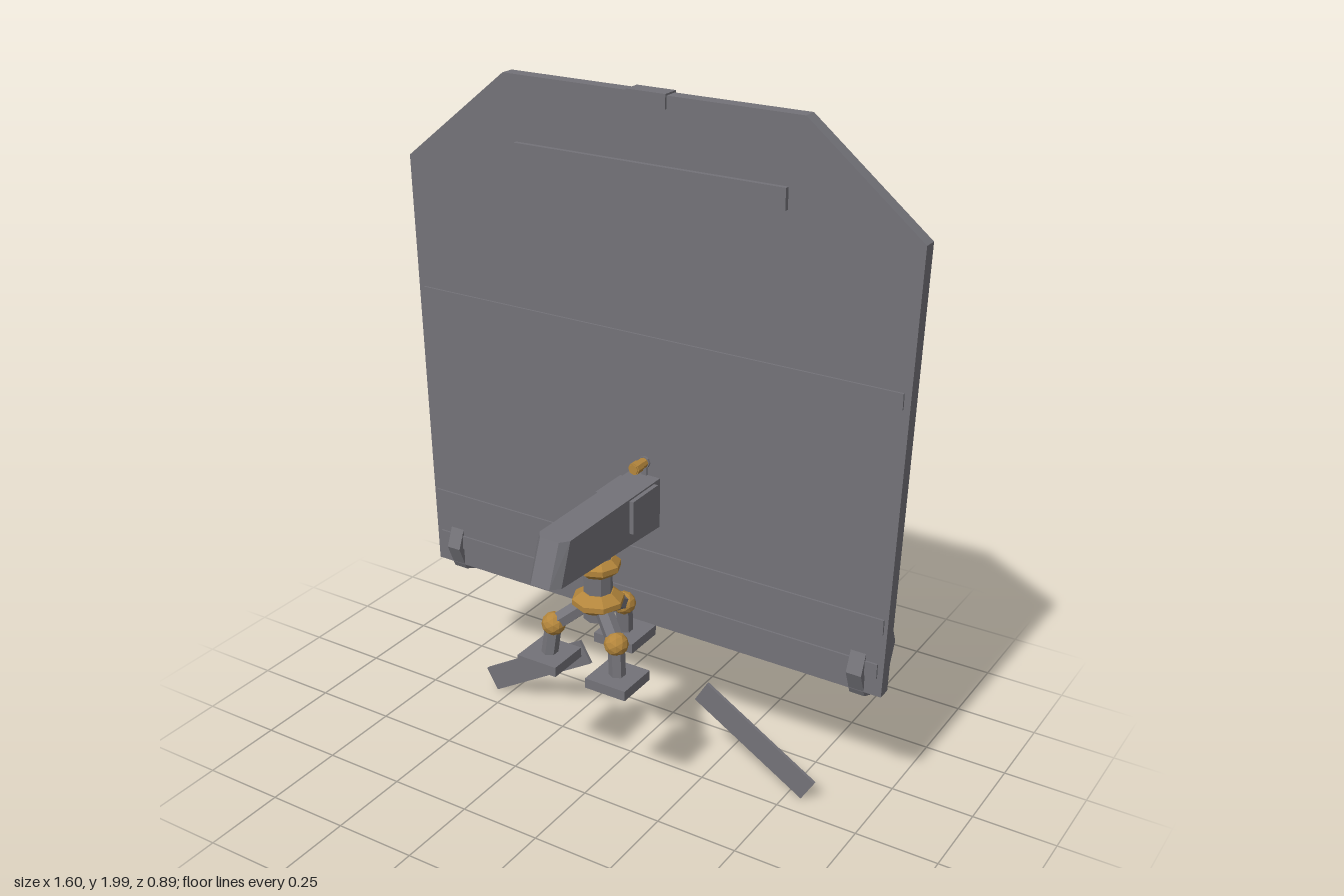
import * as THREE from 'three';
import { ConvexGeometry } from 'three/addons/geometries/ConvexGeometry.js';

export function createModel() {
  const model = new THREE.Group();
  const mat = (name, color) => {
    const m = new THREE.MeshStandardMaterial({ color, flatShading: true });
    m.name = name;
    return m;
  };
  const steel = mat('steel grey', 0x737278);
  const pale = mat('pale grey', 0xb8b8bc);
  const brass = mat('brass', 0xb4863c);

  const V = (x, y, z) => new THREE.Vector3(x, y, z);
  const add = (name, geometry, material = steel, x = 0, y = 0, z = 0) => {
    const mesh = new THREE.Mesh(geometry, material);
    mesh.name = name;
    mesh.position.set(x, y, z);
    model.add(mesh);
    return mesh;
  };
  const box = (name, w, h, d, x, y, z, material) =>
    add(name, new THREE.BoxGeometry(w, h, d), material, x, y, z);
  // Straight rod between two points
  const rod = (name, a, b, r, sides = 6, material = steel, r2 = r) => {
    const dir = b.clone().sub(a);
    const mesh = add(name, new THREE.CylinderGeometry(r2, r, dir.length(), sides), material);
    mesh.position.copy(a).add(b).multiplyScalar(0.5);
    mesh.quaternion.setFromUnitVectors(V(0, 1, 0), dir.normalize());
    return mesh;
  };
  const rods = (name, points, r, sides) => {
    for (let i = 1; i < points.length; i++) rod(name, points[i - 1], points[i], r, sides);
  };

  // Large shield with clipped upper corners
  const outline = [[-0.765, 0.42], [0.765, 0.42], [0.8, 1.72], [0.46, 1.995], [-0.46, 1.995], [-0.8, 1.72]];
  const shieldShape = new THREE.Shape(outline.map(([x, y]) => new THREE.Vector2(x, y)));
  add('shield', new THREE.ExtrudeGeometry(shieldShape, { depth: 0.042, bevelEnabled: false }), steel, 0, 0, -0.119);
  for (const [y, w] of [[1.305, 1.54], [0.642, 1.52], [0.5, 1.5]])
    box('shieldStrap', w, 0.045, 0.054, 0, y, -0.098);
  box('topClasp', 0.12, 0.04, 0.054, 0, 1.98, -0.098);
  box('visionStrip', 0.84, 0.06, 0.014, 0, 1.78, -0.07);
  box('rearPanel', 0.23, 0.325, 0.009, -0.385, 1.083, -0.123, pale);

  for (const s of [-1, 1]) {
    // Octagonal end discs and trailing bars
    const disc = add('octagonalDisc', new THREE.CylinderGeometry(0.113, 0.113, 0.046, 8), steel, s * 0.69, 0.482, -0.165);
    disc.rotation.z = Math.PI / 2;
    rod('trailBar', V(s * 0.68, 0.48, -0.15), V(s * 0.385, 0.422, -0.435), 0.015);
    // Low hanging flaps
    const flap = box('lowerFlap', 0.42, 0.078, 0.01, s * 0.385, 0.147, -0.068);
    flap.rotation.z = -s * 0.54;
    // Side cheeks and small rear posts of the housing
    box('housingCheek', 0.02, 0.1, 0.13, s * 0.053, 0.85, 0.02);
    for (const z of [-0.315, -0.335]) box('rearPost', 0.006, 0.045, 0.006, s * 0.058, 0.855, z);
    box('postArm', 0.008, 0.01, 0.08, s * 0.055, 0.835, -0.3);
  }

  // Long housing with chamfered ends
  const hull = [];
  for (const s of [-1, 1])
    hull.push(
      V(s * 0.03, 0.905, 0.4), V(s * 0.05, 0.905, 0.375), V(s * 0.05, 0.905, -0.285), V(s * 0.028, 0.905, -0.308),
      V(s * 0.03, 0.785, 0.448), V(s * 0.05, 0.782, 0.42), V(s * 0.05, 0.75, -0.095),
      V(s * 0.05, 0.763, -0.262), V(s * 0.028, 0.765, -0.285));
  add('housing', new ConvexGeometry(hull));

  // Sighting tube on top
  rod('sightTube', V(0, 0.945, -0.285), V(0, 0.945, -0.012), 0.015, 8, brass);
  for (const z of [-0.275, -0.03]) rod('sightEnd', V(0, 0.945, z - 0.014), V(0, 0.945, z + 0.014), 0.018, 8, brass);
  for (const z of [-0.225, -0.08]) {
    rod('sightRing', V(0, 0.945, z - 0.01), V(0, 0.945, z + 0.01), 0.018, 8);
    box('sightMount', 0.016, 0.05, 0.016, 0, 0.92, z);
  }

  // Rear grip frame, post and cord
  rods('gripFrame', [V(0, 0.82, -0.28), V(0, 0.79, -0.405), V(0, 0.665, -0.425), V(0, 0.515, -0.31)], 0.016, 6);
  box('gripCatch', 0.03, 0.015, 0.015, 0.02, 0.78, -0.39);
  rod('rearColumn', V(0, 0.57, -0.17), V(0, 0.76, -0.17), 0.03, 6);
  rods('cord', [V(0, 0.485, -0.365), V(0.02, 0.41, -0.385), V(-0.02, 0.37, -0.395), V(0, 0.315, -0.405)], 0.005, 5);
  add('cordBall', new THREE.IcosahedronGeometry(0.011, 1), steel, 0, 0.314, -0.405);

  // Pedestal with two brass collars
  const zc = 0.17;
  rod('pedestal', V(0, 0.56, zc), V(0, 0.77, zc), 0.042, 8);
  const collar = (y, r, h) => {
    const p = [[0, -h], [0.045, -h], [r, -0.008], [r, 0.008], [0.045, h], [0, h]];
    add('collar', new THREE.LatheGeometry(p.map(([a, b]) => new THREE.Vector2(a, b)), 8), brass, 0, y, zc);
  };
  collar(0.728, 0.066, 0.026);
  collar(0.617, 0.075, 0.03);

  // Three jointed legs on square feet
  for (const [x, z, fx, fz] of [[-0.105, 0.24, -0.115, 0.25], [0.105, 0.24, 0.115, 0.25], [0, 0.035, 0, 0.03]]) {
    const knee = V(x, 0.54, z);
    rod('upperLeg', V(x * 0.2, 0.61, zc + (z - zc) * 0.2), knee, 0.026, 6);
    add('kneeBall', new THREE.IcosahedronGeometry(0.035, 1), brass, x, 0.54, z);
    rod('lowerLeg', V(fx, 0.44, fz), knee, 0.024, 6);
    box('foot', 0.13, 0.03, 0.13, fx, 0.435, fz);
    rod('footPeg', V(fx, 0.395, fz), V(fx, 0.425, fz), 0.022, 6);
  }

  return model;
}
